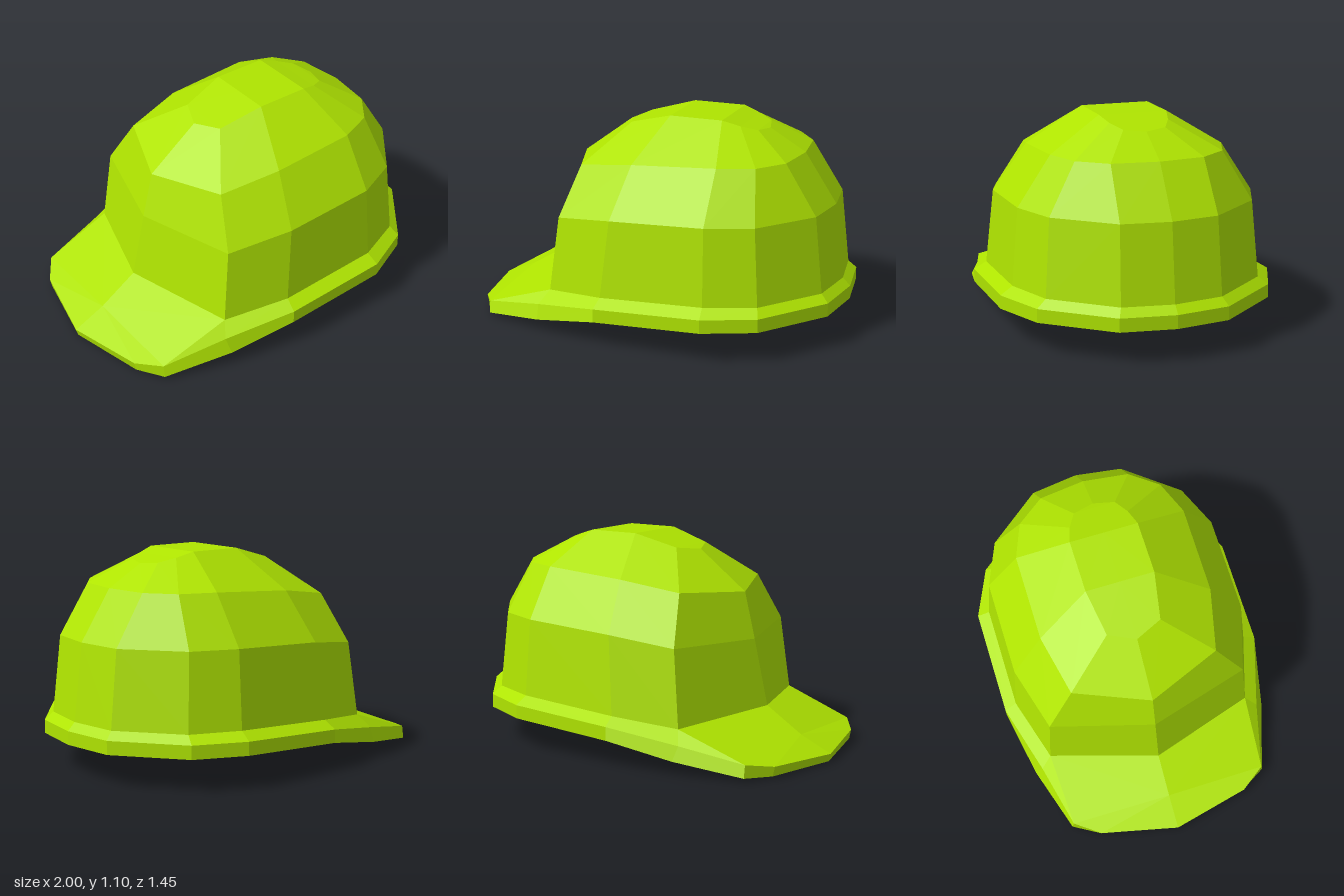
import * as THREE from 'three';

// Every half ring runs from the brim side (-x) round the +z side to the back (+x).
// Mirrors it across z = 0 into a closed ring.
function closeRing(half) {
  const mirrored = half.slice(1, -1).reverse().map(([x, y, z]) => [x, y, -z]);
  return [...half, ...mirrored].map((p) => new THREE.Vector3(...p));
}

// Skins consecutive rings with one flat normal per panel, dropping collapsed triangles.
function loft(name, halves, material) {
  const rings = halves.map(closeRing);
  const points = [], normals = [];
  const tri = new THREE.Triangle();
  const add = (normal, ...corners) => {
    tri.set(...corners);
    if (tri.getArea() < 1e-6) return;
    points.push(...corners);
    normals.push(...normal, ...normal, ...normal);
  };
  for (let r = 0; r < rings.length - 1; r++) {
    const a = rings[r], b = rings[r + 1], n = a.length;
    for (let i = 0; i < n; i++) {
      const j = (i + 1) % n;
      const normal = b[j].clone().sub(a[i]).cross(b[i].clone().sub(a[j])).normalize();
      // Flip the diagonal on the mirrored side to keep panels symmetric
      if (i < n / 2) {
        add(normal, a[i], a[j], b[j]);
        add(normal, a[i], b[j], b[i]);
      } else {
        add(normal, a[i], a[j], b[i]);
        add(normal, a[j], b[j], b[i]);
      }
    }
  }
  const geometry = new THREE.BufferGeometry().setFromPoints(points);
  geometry.setAttribute('normal', new THREE.Float32BufferAttribute(normals, 3));
  const mesh = new THREE.Mesh(geometry, material);
  mesh.name = name;
  return mesh;
}

// Repeats the two front points so a 7-point ring lines up with the 9-point brim
const widen = (h) => [h[0], h[0], h[1], h[1], ...h.slice(2)];
// Collapses a ring onto the centre line to close a crown
const spine = (h) => h.map(([x, y]) => [x, y, 0]);

export function createModel() {
  const lime = new THREE.MeshStandardMaterial({ color: 0xafe400 });
  lime.name = 'lime shell';
  const black = new THREE.MeshStandardMaterial({ color: 0x000000 });
  black.name = 'black lining';

  // Dome cross-sections, bottom to top
  const base = [[-0.63, 0.24, 0], [-0.45, 0.21, 0.56], [-0.12, 0.25, 0.66], [0.43, 0.28, 0.66],
    [0.68, 0.28, 0.56], [0.92, 0.28, 0.26], [0.96, 0.28, 0]];
  const middle = [[-0.55, 0.58, 0], [-0.405, 0.6, 0.53], [-0.08, 0.65, 0.625], [0.42, 0.675, 0.625],
    [0.65, 0.675, 0.53], [0.875, 0.675, 0.25], [0.91, 0.675, 0]];
  const upper = [[-0.49, 0.82, 0], [-0.34, 0.85, 0.385], [-0.03, 0.9, 0.455], [0.42, 0.93, 0.455],
    [0.6, 0.93, 0.385], [0.71, 0.93, 0.24], [0.74, 0.93, 0]];
  const crown = [[-0.22, 1.02, 0], [-0.16, 1.037, 0.14], [0.07, 1.1, 0.18], [0.35, 1.1, 0.18],
    [0.44, 1.073, 0.155], [0.52, 1.05, 0.11], [0.55, 1.04, 0]];

  // Brim outline: lower edge, and an upper edge drawn in slightly beside the peak
  const edgeLow = [[-0.99, 0, 0], [-0.9, 0.01, 0.41], [-0.82, 0.02, 0.55], [-0.48, 0.075, 0.66],
    [-0.13, 0.14, 0.725], [0.44, 0.17, 0.725], [0.7, 0.17, 0.61], [0.96, 0.17, 0.28], [1, 0.17, 0]];
  const edgeTop = [[-1, 0.04, 0], [-0.91, 0.06, 0.41], [-0.82, 0.085, 0.54], [-0.49, 0.145, 0.62],
    [-0.13, 0.21, 0.725], [0.44, 0.24, 0.725], [0.7, 0.24, 0.61], [0.96, 0.24, 0.28], [1, 0.24, 0]];

  // Raised fold in the middle of the peak
  const fold = edgeTop.map((p, i) => (i < 2 ? [-0.83, 0.115, 0] : p));

  // Head opening
  const opening = [[-0.465, 0.105, 0], [-0.36, 0.105, 0.57], [-0.12, 0.142, 0.61], [0.42, 0.17, 0.61],
    [0.63, 0.17, 0.52], [0.86, 0.17, 0.24], [0.9, 0.17, 0]];

  // Flat ceiling of the boxy lining
  const ceiling = [[-0.3, 0.66, 0], [-0.3, 0.66, 0.5], [-0.1, 0.66, 0.53], [0.42, 0.66, 0.53],
    [0.61, 0.66, 0.47], [0.82, 0.66, 0.22], [0.84, 0.66, 0]];

  const model = new THREE.Group();
  model.name = 'helmet';
  model.add(
    loft('dome', [base, middle, upper, crown, spine(crown)], lime),
    loft('brim', [widen(opening), edgeLow, edgeTop, fold, widen(base)], lime),
    loft('lining', [spine(ceiling), ceiling, opening], black)
  );
  return model;
}
